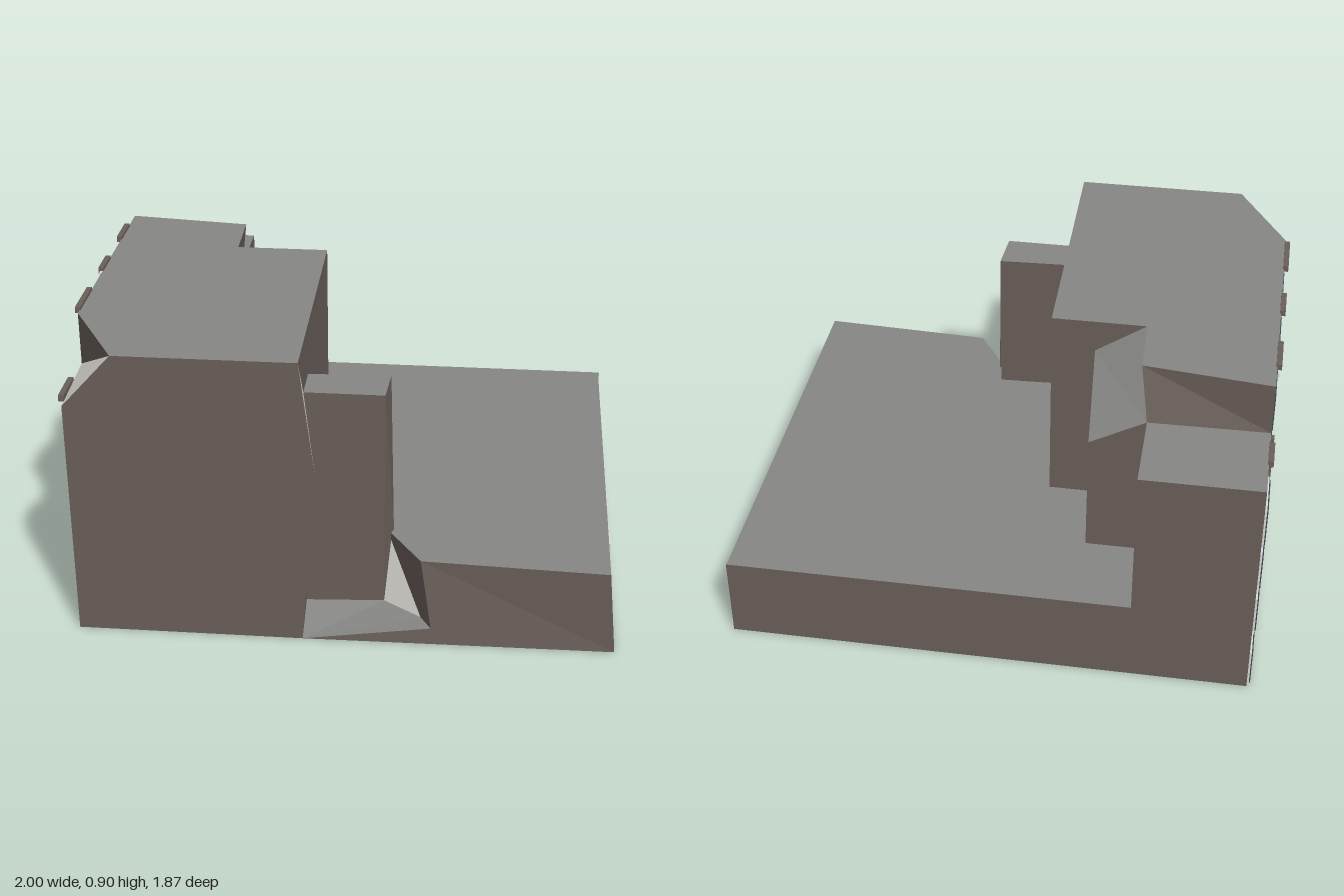
import * as THREE from 'three';

const make = (name, color) => {
  const m = new THREE.MeshStandardMaterial({ color, side: THREE.DoubleSide });
  m.name = name;
  return m;
};

export function createModel() {
  const wall = make('brown wall', 0x6a5f5a);
  const roof = make('grey roof', 0x868684);
  const cream = make('cream', 0xdcdbd4);
  const glass = make('dark glass', 0x384754);

  const model = new THREE.Group();
  const building = new THREE.Group();
  building.name = 'building';
  building.rotation.y = THREE.MathUtils.degToRad(25.4);
  model.add(building);

  const add = (name, geo, mat) => {
    const mesh = new THREE.Mesh(geo, mat);
    mesh.name = name;
    building.add(mesh);
    return mesh;
  };
  // flat-shaded face, fanned from its first corner
  const face = (name, mat, ...pts) => {
    const v = [];
    for (let i = 1; i < pts.length - 1; i++) v.push(...pts[0], ...pts[i], ...pts[i + 1]);
    const g = new THREE.BufferGeometry();
    g.setAttribute('position', new THREE.Float32BufferAttribute(v, 3));
    g.computeVertexNormals();
    return add(name, g, mat);
  };
  // level roof from an x,z outline
  const flat = (name, y, pts) => {
    const s = new THREE.Shape(pts.map(([x, z]) => new THREE.Vector2(x, -z)));
    return add(name, new THREE.ShapeGeometry(s).rotateX(-Math.PI / 2).translate(0, y, 0), roof);
  };
  // upright wall between two x,z points
  const upright = (name, [x0, z0], [x1, z1], y0, y1, mat = wall) =>
    face(name, mat, [x0, y0, z0], [x1, y0, z1], [x1, y1, z1], [x0, y1, z0]);
  const box = (name, mat, x, y, z, w, h, d) =>
    add(name, new THREE.BoxGeometry(w, h, d).translate(x, y, z), mat);

  const L = 0.26, M = 0.73, H = 0.89; // low, middle and high roof levels

  // roofs
  flat('tallRoof', H, [[-.78, .39], [-.627, .667], [-.11, .667], [-.12, -.16], [-.4, -.16], [-.405, -.36], [-.78, -.405]]);
  flat('lowRoof', L, [[-.43, -.673], [.772, -.673], [.77, .655], [.23, .63], [.12, .46], [.124, .39],
    [-.117, .4], [-.12, -.16], [-.255, -.16], [-.265, -.41], [-.43, -.41]]);
  flat('wingRoof', M, [[-.78, -.673], [-.43, -.673], [-.43, -.41], [-.78, -.405]]);
  flat('towerRoof', M, [[-.117, .4], [.124, .39], [.117, .52], [-.115, .52]]);

  // street facade in three bays
  upright('facadeWing', [-.78, -.673], [-.78, -.405], 0, M);
  upright('facadeTall', [-.78, -.405], [-.78, .39], 0, H);
  upright('facadeCorner', [-.78, .39], [-.772, .667], 0, M);

  // cut roof corner
  face('cornerUpright', wall, [-.78, H, .39], [-.78, M, .39], [-.627, H, .667]);
  face('cornerSlope', cream, [-.78, M, .39], [-.772, M, .667], [-.627, H, .667]);

  // tall side wall and its kinked end
  face('tallSideWall', wall, [-.772, 0, .667], [-.11, 0, .667], [-.068, .55, .667], [-.11, H, .667],
    [-.627, H, .667], [-.772, M, .667]);
  face('kinkLower', wall, [-.11, 0, .667], [-.115, 0, .52], [-.115, M, .52], [-.068, .55, .667]);
  face('kinkUpper', cream, [-.11, H, .667], [-.068, .55, .667], [-.115, M, .52]);
  face('tallRearWall', wall, [-.115, M, .52], [-.11, H, .667], [-.12, H, -.16], [-.12, L, -.16], [-.115, L, .52]);
  upright('tallBackWall', [-.12, -.16], [-.4, -.16], L, H);

  // wing walls and the slope up to the tall roof
  upright('wingBackWall', [-.78, -.673], [-.43, -.673], 0, M);
  upright('wingEndWall', [-.43, -.673], [-.43, -.41], L, M);
  face('wingSlope', wall, [-.78, M, -.405], [-.43, M, -.41], [-.405, H, -.36], [-.78, H, -.405]);

  // sloping annex in the inner corner
  const P = [-.43, M, -.41], Q = [-.265, .64, -.41], R = [-.25, .79, -.16], S = [-.4, H, -.16];
  face('annexRoofA', roof, P, R, Q);
  face('annexRoofB', roof, P, S, R);
  face('annexSlope', wall, P, [-.405, H, -.36], S);
  face('annexBackWall', wall, P, Q, [-.265, L, -.41], [-.43, L, -.41]);
  face('annexEndWall', wall, Q, R, [-.255, L, -.16], [-.265, L, -.41]);

  // low block walls
  upright('lowBackWall', [-.43, -.673], [.774, -.673], 0, L);
  face('lowEndWall', wall, [.774, 0, -.673], [.795, 0, .656], [.77, L, .655], [.772, L, -.673]);
  face('lowFrontWall', wall, [.795, 0, .656], [.77, L, .655], [.23, L, .63], [.263, .05, .657], [-.11, 0, .667]);

  // stair tower
  upright('towerFrontWall', [-.115, .52], [.117, .52], .04, M);
  face('towerSideWall', wall, [.117, M, .52], [.117, .05, .52], [.14, L, .46], [.124, M, .39]);
  upright('towerBackWall', [.124, .39], [-.117, .4], L, M);

  // recess beside the tower
  face('recessFloor', roof, [-.11, 0, .667], [.263, .05, .657], [.23, .05, .6], [.117, .05, .52], [-.115, .04, .52]);
  face('recessLightWall', cream, [.12, L, .46], [.117, .05, .52], [.23, .05, .6]);
  face('recessSideWall', wall, [.12, L, .46], [.23, .05, .6], [.263, .05, .657], [.23, L, .63]);

  // cream linings on the inside of alternate bays
  for (const [z0, z1, h] of [[.4, .66, .71], [-.14, .13, .87], [-.65, -.41, .71]])
    upright('bayLining', [-.768, z0], [-.768, z1], .005, h, cream);

  // facade windows with pale edges
  const window_ = (z0, z1, y0, y1) => {
    const z = (z0 + z1) / 2, y = (y0 + y1) / 2, w = z1 - z0, h = y1 - y0;
    box('windowFrame', cream, -.783, y, z, .006, h + .008, w + .016);
    box('windowPane', glass, -.785, y, z, .009, h, w);
  };
  for (const [z0, z1] of [[-.66, -.525], [-.13, .03], [.4, .58]])
    for (const y of [.21, .375, .535]) window_(z0, z1, y, y + .123);
  for (const y of [.24, .405, .57]) {
    window_(.126, .3, y, y + .12);
    box('windowSill', cream, -.789, y - .006, .213, .018, .012, .18);
  }
  // ground floor shop windows
  for (const [z0, z1, h] of [[-.66, -.48, .125], [-.43, -.21, .125], [-.15, .056, .14], [.09, .31, .125], [.39, .6, .125]])
    window_(z0, z1, .004, h);

  // parapet pieces and the bay edge strip
  for (const [z0, z1, y] of [[-.31, -.19, H], [-.03, .07, H], [.22, .37, H], [-.55, -.46, M], [.5, .62, M]])
    box('parapetCap', wall, -.785, y, (z0 + z1) / 2, .016, .018, z1 - z0);
  box('parapetNotch', cream, -.783, .85, .08, .008, .08, .014);
  box('bayEdge', wall, -.784, .36, -.41, .012, .72, .02);

  // five pale windows on the low end wall
  for (let i = 0; i < 5; i++) {
    const z = .29 - i * .204;
    const pane = box('endWindow', cream, 0, 0, 0, .008, .115, .1);
    pane.position.set(.773 + .011 * (z + .673) / 1.33, .115, z);
  }
  return model;
}
